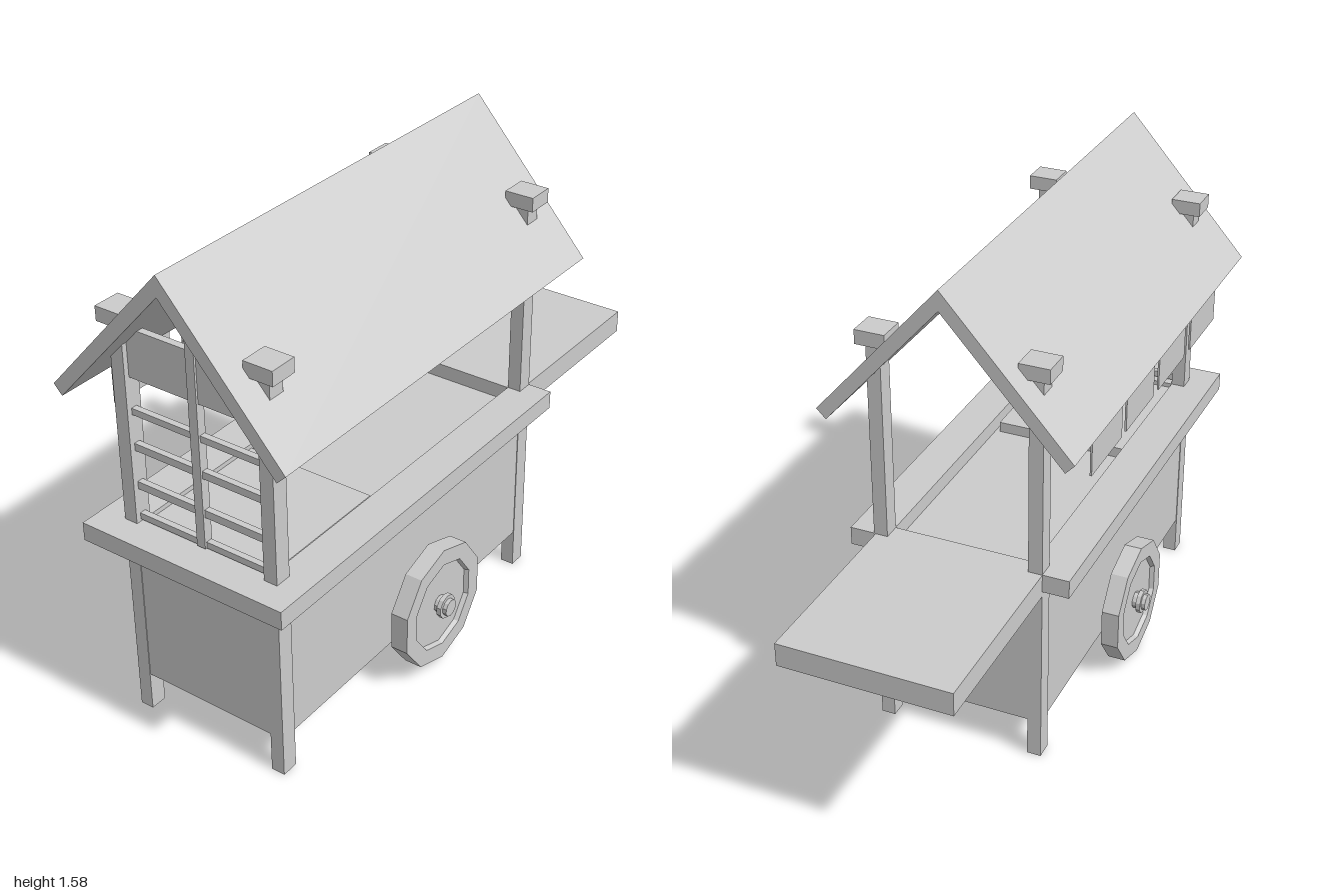
import * as THREE from 'three';

const material = new THREE.MeshStandardMaterial({ color: 0xcccccc, flatShading: true });

export function createModel() {
  const model = new THREE.Group();

  const add = (name, geometry) => {
    const mesh = new THREE.Mesh(geometry, material);
    mesh.name = name;
    model.add(mesh);
    return mesh;
  };

  // Box given by its extents along each axis
  const box = (name, [x0, x1], [y0, y1], [z0, z1]) => {
    const mesh = add(name, new THREE.BoxGeometry(x1 - x0, y1 - y0, z1 - z0));
    mesh.position.set((x0 + x1) / 2, (y0 + y1) / 2, (z0 + z1) / 2);
    return mesh;
  };

  // Cart body
  box('body', [-0.268, 0.278], [0.13, 0.63], [-0.398, 0.903]);

  // Corner posts run from the ground through the roof and carry square caps
  for (const [x0, x1] of [[-0.27, -0.225], [0.235, 0.28]]) {
    for (const [z0, z1] of [[-0.4, -0.345], [0.85, 0.905]]) {
      box('cornerPost', [x0, x1], [0, 1.33], [z0, z1]);
      const cx = (x0 + x1) / 2, cz = (z0 + z1) / 2;
      box('postCap', [cx - 0.048, cx + 0.048], [1.322, 1.368], [cz - 0.045, cz + 0.045]);
    }
  }

  // Counter rim around a sunken top, with a folding shelf at the back
  box('counterSide', [-0.355, -0.225], [0.62, 0.68], [-0.4, 0.85]);
  box('counterSide', [0.235, 0.36], [0.62, 0.68], [-0.4, 0.85]);
  box('counterFront', [-0.355, 0.36], [0.62, 0.68], [0.85, 0.99]);
  box('backShelf', [-0.27, 0.275], [0.603, 0.679], [-1, -0.345]);
  box('counterPanel', [-0.225, 0.22], [0.63, 0.665], [0.39, 0.85]);

  // Front lattice: rails, centre upright and sign board
  for (const [y0, y1] of [[0.687, 0.708], [0.79, 0.815], [0.918, 0.942], [1.035, 1.056]]) {
    box('latticeRail', [-0.225, 0.235], [y0, y1], [0.868, 0.888]);
  }
  box('latticeUpright', [-0.01, 0.02], [0.688, 1.53], [0.865, 0.895]);
  box('signBoard', [-0.225, 0.235], [1.155, 1.31], [0.865, 0.888]);

  // Gabled roof: one chevron extruded along the cart
  const roof = new THREE.Shape([
    [0.003, 1.58], [-0.4, 1.13], [-0.372, 1.1],
    [0.003, 1.516], [0.37, 1.1], [0.4, 1.13],
  ].map(([x, y]) => new THREE.Vector2(x, y)));
  add('roof', new THREE.ExtrudeGeometry(roof, { depth: 1.49, bevelEnabled: false }))
    .position.z = -0.49;

  // Hanging flaps under the right eave
  for (const [z0, z1] of [[0.565, 0.805], [0.27, 0.51], [-0.012, 0.225], [-0.29, -0.048]]) {
    box('awningFlap', [-0.373, -0.367], [0.98, 1.11], [z0, z1]);
  }

  // Ten-sided wheels with recessed faces
  const wheelProfile = [
    [0, -0.014], [0.145, -0.014], [0.15, -0.029], [0.204, -0.029],
    [0.204, 0.029], [0.15, 0.029], [0.145, 0.014], [0, 0.014],
  ].map(([r, y]) => new THREE.Vector2(r, y));
  // Axle with a stepped hub cap; starts inside the body
  const axleProfile = [
    [0, -0.09], [0.028, -0.09], [0.028, 0.03], [0.04, 0.03],
    [0.04, 0.045], [0.028, 0.045], [0.028, 0.058], [0, 0.058],
  ].map(([r, y]) => new THREE.Vector2(r, y));

  for (const [side, x, y, z] of [[1, 0.342, 0.225, 0.22], [-1, -0.325, 0.205, 0.23]]) {
    const parts = [['wheel', wheelProfile, 10], ['axle', axleProfile, 10]];
    for (const [name, profile, sides] of parts) {
      const geometry = new THREE.LatheGeometry(profile, sides);
      geometry.rotateY(Math.PI / 10);
      geometry.rotateZ(-side * Math.PI / 2);
      add(name, geometry).position.set(x, y, z);
    }
  }

  return model;
}
